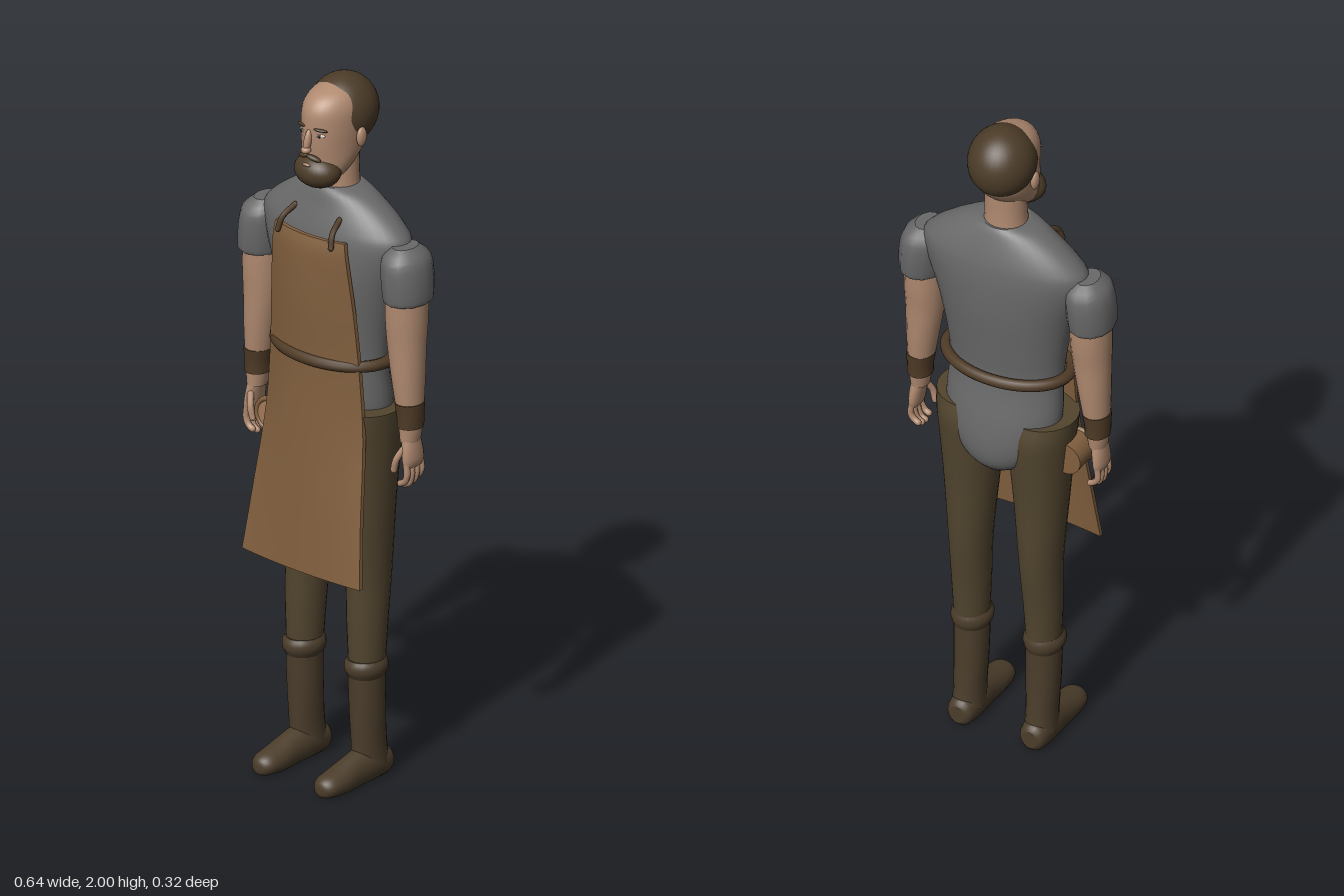
import * as THREE from 'three';

const mat = (name, color) => Object.assign(new THREE.MeshStandardMaterial({ color }), { name });
const M = {
  skin: mat('skin', 0xb08a70), shirt: mat('grey shirt', 0x696969), hair: mat('brown hair', 0x4c3c28),
  leather: mat('apron leather', 0x82603f), trousers: mat('brown trousers', 0x52452f),
  strap: mat('dark leather', 0x4f3b26), boots: mat('boot leather', 0x4b3d2b),
  white: mat('eye white', 0xd6cec2), dark: mat('pupil', 0x1f1812), tan: mat('tan leather', 0xa57a58),
};

const add = (parent, name, geo, material, x = 0, y = 0, z = 0) => {
  const m = new THREE.Mesh(geo, material);
  m.name = name;
  m.position.set(x, y, z);
  parent.add(m);
  return m;
};

// Catmull-Rom refinement of rows of numbers
function refine(rows, n) {
  const out = [], at = (i) => rows[Math.min(Math.max(i, 0), rows.length - 1)];
  for (let i = 0; i < rows.length - 1; i++) {
    for (let k = 0; k < n; k++) {
      const t = k / n;
      out.push(at(i).map((b, j) => {
        const a = at(i - 1)[j], c = at(i + 1)[j], d = at(i + 2)[j];
        return b + 0.5 * t * (c - a + t * (2 * a - 5 * b + 4 * c - d + t * (3 * (b - c) + d - a)));
      }));
    }
  }
  out.push(at(rows.length - 1));
  return out;
}

// Closed body from elliptical sections [y, cx, cz, rx, rz], bottom to top
function loft(sections, seg = 24, steps = 4, mirror = 1) {
  const rows = refine(sections, steps), pos = [], idx = [];
  const ring = ([y, cx, cz, rx, rz]) => {
    for (let i = 0; i < seg; i++) {
      const a = (i / seg) * Math.PI * 2;
      pos.push(cx * mirror + Math.cos(a) * rx, y, cz + Math.sin(a) * rz);
    }
  };
  rows.forEach(ring);
  for (let r = 0; r < rows.length - 1; r++) {
    for (let i = 0; i < seg; i++) {
      const a = r * seg + i, b = r * seg + (i + 1) % seg, c = a + seg, d = b + seg;
      idx.push(a, c, b, b, c, d);
    }
  }
  for (const [row, top] of [[rows[0], false], [rows[rows.length - 1], true]]) {
    const s = pos.length / 3;
    ring(row);
    pos.push(row[1] * mirror, row[0], row[2]);
    for (let i = 0; i < seg; i++) {
      const j = (i + 1) % seg;
      idx.push(s + seg, s + (top ? j : i), s + (top ? i : j));
    }
  }
  const g = new THREE.BufferGeometry();
  g.setAttribute('position', new THREE.Float32BufferAttribute(pos, 3));
  g.setIndex(idx);
  g.computeVertexNormals();
  return g;
}

const ball = (rx, ry, rz, w = 20, h = 14) => new THREE.SphereGeometry(1, w, h).scale(rx, ry, rz);

// Round-ended bent rod through points
function rod(parent, name, pts, r, material) {
  const v = pts.map((p) => new THREE.Vector3(...p));
  add(parent, name, new THREE.TubeGeometry(new THREE.CatmullRomCurve3(v), 8, r, 8), material);
  for (const e of [v[0], v[v.length - 1]]) add(parent, name + 'End', ball(r, r, r, 8, 6), material, e.x, e.y, e.z);
}

// Apron: thin panel bent to rows of [y, half width, z at middle, z at edge]
function apronGeometry() {
  const rows = refine([
    [0.615, 0.208, 0.119, 0.106], [0.8, 0.19, 0.108, 0.082], [1.02, 0.172, 0.096, 0.052],
    [1.2, 0.158, 0.09, 0.05], [1.38, 0.145, 0.1, 0.06], [1.53, 0.13, 0.102, 0.072], [1.583, 0.122, 0.092, 0.07],
  ], 4);
  const n = rows.length - 1, g = new THREE.BoxGeometry(2, n, 0.012, 12, n, 1), p = g.attributes.position;
  for (let i = 0; i < p.count; i++) {
    const u = p.getX(i), [y, w, zc, ze] = rows[Math.round(p.getY(i) + n / 2)];
    p.setXYZ(i, u * w, y, zc + (ze - zc) * u * u + p.getZ(i));
  }
  g.computeVertexNormals();
  return g;
}

function buildHead(root) {
  const head = new THREE.Group();
  head.name = 'head';
  root.add(head);
  add(head, 'neck', loft([[1.66, 0, -0.038, 0.064, 0.06], [1.73, 0, -0.038, 0.058, 0.055], [1.82, 0, -0.04, 0.058, 0.055]]), M.skin);
  add(head, 'face', loft([
    [1.715, 0, 0.04, 0.03, 0.03], [1.74, 0, 0.02, 0.053, 0.058], [1.78, 0, -0.005, 0.07, 0.078],
    [1.83, 0, -0.025, 0.077, 0.104], [1.88, 0, -0.03, 0.08, 0.11], [1.93, 0, -0.032, 0.077, 0.107],
    [1.965, 0, -0.037, 0.06, 0.084], [1.987, 0, -0.045, 0.028, 0.035],
  ], 32), M.skin);
  add(head, 'hair', ball(0.092, 0.1, 0.1, 32, 24), M.hair, 0, 1.9, -0.058);
  add(head, 'beard', ball(0.069, 0.048, 0.055, 28, 18), M.hair, 0, 1.754, 0.044);
  add(head, 'lips', ball(0.014, 0.004, 0.005), M.skin, 0, 1.782, 0.089);
  add(head, 'noseBridge', ball(0.01, 0.034, 0.012), M.skin, 0, 1.85, 0.084).rotation.x = -0.25;
  add(head, 'noseTip', ball(0.014, 0.01, 0.014), M.skin, 0, 1.826, 0.091);
  for (const s of [-1, 1]) {
    add(head, 'moustache', ball(0.022, 0.007, 0.009), M.hair, s * 0.018, 1.803, 0.08).rotation.set(0, s * 0.35, -s * 0.3);
    add(head, 'eye', ball(0.013, 0.0055, 0.006), M.white, s * 0.032, 1.868, 0.068).rotation.y = s * 0.45;
    add(head, 'iris', ball(0.005, 0.005, 0.003), M.dark, s * 0.031, 1.868, 0.073).rotation.y = s * 0.45;
    add(head, 'eyebrow', ball(0.02, 0.004, 0.006), M.hair, s * 0.034, 1.885, 0.071).rotation.set(0, s * 0.45, -s * 0.08);
    add(head, 'ear', ball(0.011, 0.028, 0.017), M.skin, s * 0.086, 1.848, -0.034);
  }
}

function buildArm(root, s) {
  const arm = new THREE.Group();
  arm.name = s > 0 ? 'leftArm' : 'rightArm';
  root.add(arm);
  add(arm, 'sleeve', loft([
    [1.43, 0.256, -0.028, 0.058, 0.07], [1.442, 0.257, -0.028, 0.063, 0.077], [1.51, 0.252, -0.029, 0.065, 0.081],
    [1.555, 0.247, -0.029, 0.058, 0.073], [1.583, 0.245, -0.029, 0.03, 0.042],
  ], 12, 3, s), M.shirt);
  add(arm, 'arm', loft([
    [1.03, 0.271, -0.02, 0.024, 0.032], [1.08, 0.27, -0.022, 0.031, 0.036], [1.2, 0.262, -0.023, 0.043, 0.048],
    [1.3, 0.255, -0.024, 0.052, 0.054], [1.38, 0.253, -0.026, 0.056, 0.061], [1.47, 0.252, -0.027, 0.055, 0.063],
  ], 20, 4, s), M.skin);
  add(arm, 'wristband', loft([
    [1.07, 0.27, -0.022, 0.034, 0.039], [1.1, 0.27, -0.022, 0.035, 0.04], [1.14, 0.267, -0.022, 0.039, 0.044],
  ], 20, 3, s), M.strap);
  add(arm, 'palm', loft([
    [0.958, 0.281, -0.02, 0.012, 0.034], [0.975, 0.281, -0.02, 0.017, 0.039],
    [1.005, 0.278, -0.02, 0.019, 0.037], [1.045, 0.272, -0.02, 0.021, 0.029],
  ], 16, 3, s), M.skin);
  for (let i = 0; i < 4; i++) {
    const z = 0.009 - i * 0.019, low = [0.909, 0.9, 0.904, 0.915][i];
    rod(arm, 'finger', [[s * 0.282, 0.97, z], [s * 0.285, 0.938, z], [s * 0.276, low + 0.008, z], [s * 0.262, low, z]], 0.009, M.skin);
  }
  rod(arm, 'thumb', [[s * 0.27, 1.01, 0.008], [s * 0.258, 0.98, 0.022], [s * 0.25, 0.95, 0.022]], 0.0095, M.skin);
}

function buildLeg(root, s) {
  const leg = new THREE.Group();
  leg.name = s > 0 ? 'leftLeg' : 'rightLeg';
  root.add(leg);
  add(leg, 'trouserLeg', loft([
    [0.3, 0.11, -0.028, 0.045, 0.052], [0.45, 0.109, -0.031, 0.052, 0.06], [0.6, 0.107, -0.038, 0.057, 0.07],
    [0.8, 0.106, -0.034, 0.073, 0.083], [0.95, 0.105, -0.033, 0.086, 0.097],
    [1.03, 0.105, -0.032, 0.094, 0.104], [1.085, 0.106, -0.026, 0.098, 0.099],
  ], 24, 5, s), M.trousers);
  add(leg, 'bootCuff', loft([
    [0.3, 0.11, -0.026, 0.048, 0.054], [0.318, 0.11, -0.025, 0.056, 0.062],
    [0.336, 0.11, -0.025, 0.056, 0.062], [0.35, 0.11, -0.026, 0.049, 0.056],
  ], 20, 3, s), M.boots);
  add(leg, 'bootShaft', loft([
    [0.04, 0.11, -0.042, 0.044, 0.058], [0.1, 0.11, -0.036, 0.042, 0.054],
    [0.2, 0.11, -0.03, 0.046, 0.053], [0.31, 0.11, -0.027, 0.048, 0.054],
  ], 20, 4, s), M.boots);
  // Foot runs heel to toe, flattened at the sole
  const foot = loft([
    [-0.106, 0.11, -0.036, 0.022, 0.026], [-0.09, 0.11, -0.036, 0.038, 0.042], [-0.03, 0.11, -0.04, 0.043, 0.056],
    [0.03, 0.11, -0.034, 0.041, 0.05], [0.09, 0.11, -0.026, 0.043, 0.04],
    [0.135, 0.11, -0.023, 0.038, 0.032], [0.155, 0.11, -0.021, 0.024, 0.022], [0.161, 0.11, -0.02, 0.008, 0.009],
  ], 20, 4, s).rotateX(Math.PI / 2);
  const p = foot.attributes.position;
  for (let i = 0; i < p.count; i++) p.setY(i, Math.max(p.getY(i), 0));
  foot.computeVertexNormals();
  add(leg, 'bootFoot', foot, M.boots);
}

export function createModel() {
  const root = new THREE.Group();
  root.name = 'craftsman';

  add(root, 'shirt', loft([
    [0.9, 0, -0.07, 0.04, 0.04], [0.94, 0, -0.067, 0.1, 0.077], [1.0, 0, -0.057, 0.145, 0.097],
    [1.08, 0, -0.046, 0.168, 0.1], [1.2, 0, -0.032, 0.166, 0.092], [1.3, 0, -0.031, 0.176, 0.1],
    [1.42, 0, -0.032, 0.202, 0.112], [1.52, 0, -0.035, 0.236, 0.112], [1.575, 0, -0.037, 0.246, 0.106],
    [1.61, 0, -0.038, 0.222, 0.098], [1.65, 0, -0.038, 0.172, 0.085], [1.685, 0, -0.036, 0.112, 0.073],
    [1.7, 0, -0.036, 0.066, 0.064],
  ], 40), M.shirt);

  buildHead(root);
  for (const s of [-1, 1]) {
    buildArm(root, s);
    buildLeg(root, s);
    // Short straps hooking the bib to the shirt
    rod(root, 'bibStrap', [[s * 0.094, 1.57, 0.098], [s * 0.088, 1.605, 0.085], [s * 0.078, 1.63, 0.045]], 0.008, M.strap);
  }

  add(root, 'apron', apronGeometry(), M.leather);

  // Belt around shirt and apron
  const loop = Array.from({ length: 24 }, (_, i) => {
    const a = (i / 24) * Math.PI * 2;
    return new THREE.Vector3(Math.cos(a) * 0.18, 1.225, -0.022 + Math.sin(a) * 0.119);
  });
  add(root, 'belt', new THREE.TubeGeometry(new THREE.CatmullRomCurve3(loop, true), 64, 0.016, 10, true), M.strap);

  // Round pouch on the right hip
  add(root, 'pouch', new THREE.CylinderGeometry(0.048, 0.048, 0.08, 24).rotateX(Math.PI / 2), M.leather, -0.19, 0.975, -0.02);
  add(root, 'pouchRim', new THREE.TorusGeometry(0.046, 0.008, 8, 28), M.leather, -0.19, 0.975, 0.02);
  add(root, 'pouchFace', new THREE.CylinderGeometry(0.042, 0.042, 0.006, 24).rotateX(Math.PI / 2), M.tan, -0.19, 0.975, 0.021);
  return root;
}
